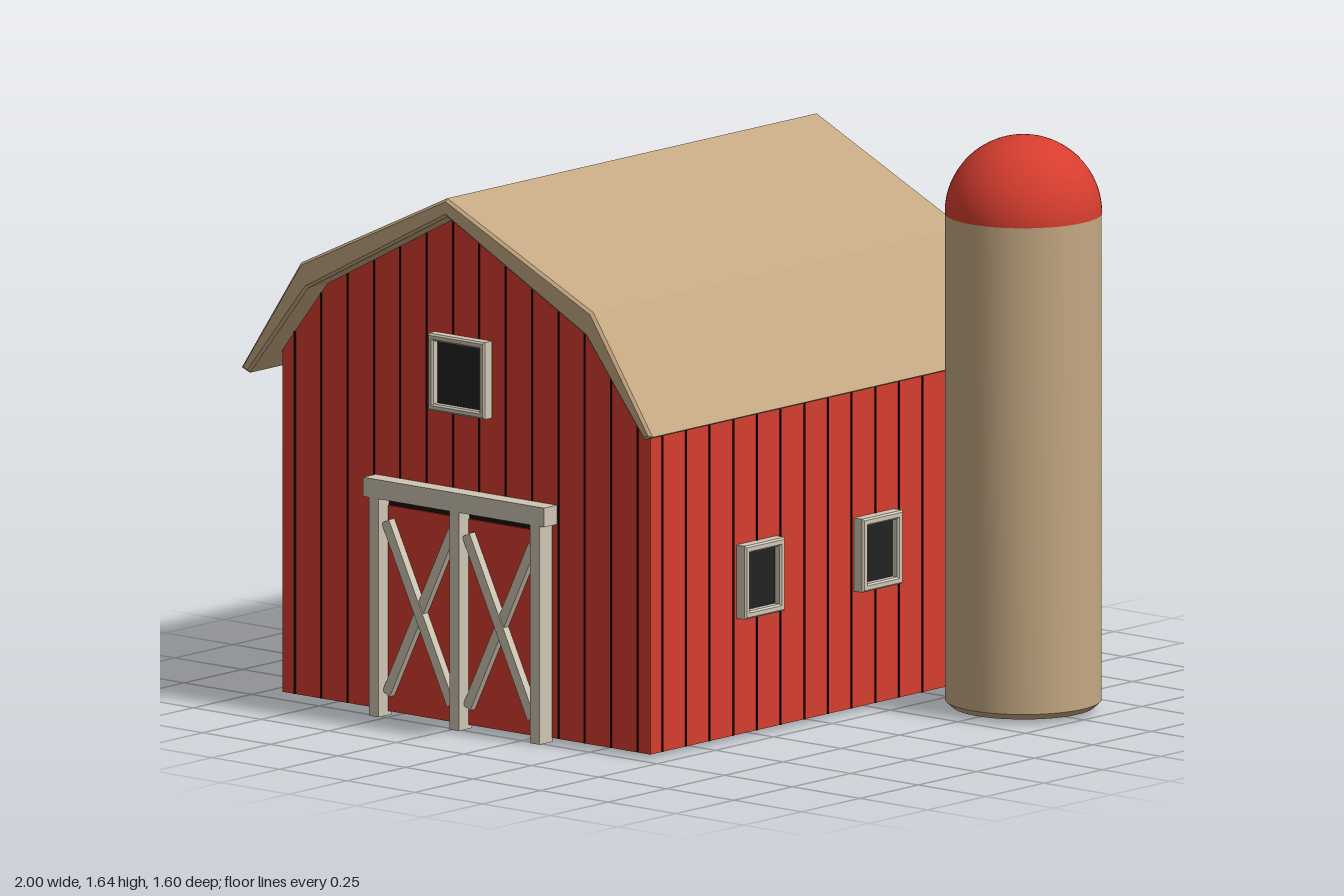
import * as THREE from 'three';
import { toCreasedNormals } from 'three/addons/utils/BufferGeometryUtils.js';

const mat = (name, color) => {
  const m = new THREE.MeshStandardMaterial({ color });
  m.name = name;
  return m;
};

export function createModel() {
  const red = mat('barn red', 0xd63d2f);
  const tan = mat('roof tan', 0xc4a882);
  const trim = mat('trim cream', 0xcfc6b4);
  const dark = mat('dark glass', 0x222222);
  const groove = mat('board gap', 0x1c0a08);

  const model = new THREE.Group();
  const barn = new THREE.Group();
  barn.name = 'barn';
  barn.position.x = -0.24;
  model.add(barn);

  const add = (parent, name, geo, material, x = 0, y = 0, z = 0) => {
    const mesh = new THREE.Mesh(geo, material);
    mesh.name = name;
    mesh.position.set(x, y, z);
    parent.add(mesh);
    return mesh;
  };
  const box = (parent, name, w, h, d, material, x, y, z) =>
    add(parent, name, new THREE.BoxGeometry(w, h, d), material, x, y, z);
  const shapeOf = (pts) => new THREE.Shape(pts.map(([x, y]) => new THREE.Vector2(x, y)));
  const mirrored = (pts) => pts.map(([x, y]) => [-x, y]).reverse();

  // Barn body with gambrel gables
  const halfW = 0.68, wallZ = 0.71, base = 0.012;
  const right = [[halfW, base], [halfW, 0.99], [0.515, 1.2]];
  const body = new THREE.ExtrudeGeometry(
    shapeOf([...right, [0, 1.472], ...mirrored(right)]), { depth: 2 * wallZ, bevelEnabled: false });
  add(barn, 'barnBody', body, red, 0, 0, -wallZ);

  // Overhanging gambrel roof, one folded slab
  const outer = [[0.76, 0.942], [0.54, 1.27]];
  const inner = [[0.515, 1.2], [0.73, 0.93]];
  const bevel = 0.008;
  const roof = new THREE.ExtrudeGeometry(
    shapeOf([...outer, [0, 1.525], ...mirrored(outer), ...mirrored(inner), [0, 1.472], ...inner].filter(Boolean)
      .map(([x, y]) => [x, y])), {
      depth: 1.6 - 2 * bevel, bevelEnabled: true, bevelSegments: 1,
      bevelSize: bevel, bevelThickness: bevel, bevelOffset: -bevel,
    });
  roof.translate(0, 0, -0.8 + bevel);
  add(barn, 'roof', roof, tan);

  // Board gaps on the front gable, cut to the roof line
  const gableTop = (x) => {
    const a = Math.abs(x);
    return a < 0.515 ? 1.472 - a * 0.528 : 1.2 - (a - 0.515) * 1.27;
  };
  for (let i = 0; i < 14; i++) {
    const x = -0.634 + i * 0.0975;
    const top = gableTop(x);
    box(barn, 'frontBoardGap', 0.005, top - base, 0.004, groove, x, (top + base) / 2, wallZ + 0.001);
  }

  // Board gaps on the left wall
  for (let i = 0; i < 14; i++) {
    box(barn, 'sideBoardGap', 0.004, 0.97, 0.005, groove, halfW + 0.001, base + 0.485, 0.66 - i * 0.1015);
  }

  // Framed windows
  const addWindow = (name, w, h, rim, x, y, z, turn) => {
    const g = new THREE.Group();
    g.name = name;
    g.position.set(x, y, z);
    g.rotation.y = turn;
    const rect = (a, b) => [[-a, -b], [a, -b], [a, b], [-a, b]];
    const b = 0.005;
    const frame = shapeOf(rect(w / 2 - b, h / 2 - b));
    frame.holes.push(shapeOf(rect(w / 2 - rim + b, h / 2 - rim + b).reverse()));
    const geo = new THREE.ExtrudeGeometry(frame, {
      depth: 0.03, bevelEnabled: true, bevelSegments: 1, bevelSize: b, bevelThickness: b,
    });
    add(g, 'windowFrame', geo, trim);
    box(g, 'windowGlass', w - 2 * rim + 0.004, h - 2 * rim + 0.004, 0.008, dark, 0, 0, 0.009);
    barn.add(g);
  };
  addWindow('loftWindow', 0.21, 0.22, 0.02, 0, 1.01, wallZ + 0.012, 0);
  for (const z of [0.255, -0.25]) {
    addWindow('sideWindow', 0.172, 0.21, 0.022, halfW, 0.45, z, Math.PI / 2);
  }

  // Double door: panel, posts, header and crossed braces
  const door = new THREE.Group();
  door.name = 'doubleDoor';
  barn.add(door);
  box(door, 'doorPanel', 0.6, 0.588, 0.012, red, 0, 0.306, wallZ + 0.006);
  box(door, 'doorTopGap', 0.56, 0.026, 0.008, groove, 0, 0.613, wallZ + 0.004);
  box(door, 'doorHeader', 0.67, 0.055, 0.055, trim, 0, 0.652, 0.738);
  for (const x of [-0.298, 0, 0.298]) {
    box(door, 'doorPost', 0.036, 0.625, 0.055, trim, x, 0.3125, 0.735);
  }
  for (const x of [-0.149, 0.149]) {
    for (const s of [-1, 1]) {
      const brace = box(door, 'doorBrace', 0.03, 0.55, 0.03, trim, x, 0.312, 0.729 + s * 0.002);
      brace.rotation.z = s * Math.atan2(0.24, 0.49);
    }
  }

  // Silo with rounded foot and domed cap
  const silo = new THREE.Group();
  silo.name = 'silo';
  silo.position.set(0.777, 0, -0.5);
  model.add(silo);
  const profile = [[0, 0.012], [0.2, 0.012], [0.22, 0.03], [0.22, 1.42]]
    .map(([x, y]) => new THREE.Vector2(x, y));
  add(silo, 'siloTower', toCreasedNormals(new THREE.LatheGeometry(profile, 40), 0.5), tan);
  add(silo, 'siloDome',
    new THREE.SphereGeometry(0.221, 40, 16, 0, Math.PI * 2, 0, Math.PI / 2), red, 0, 1.42, 0);

  return model;
}
